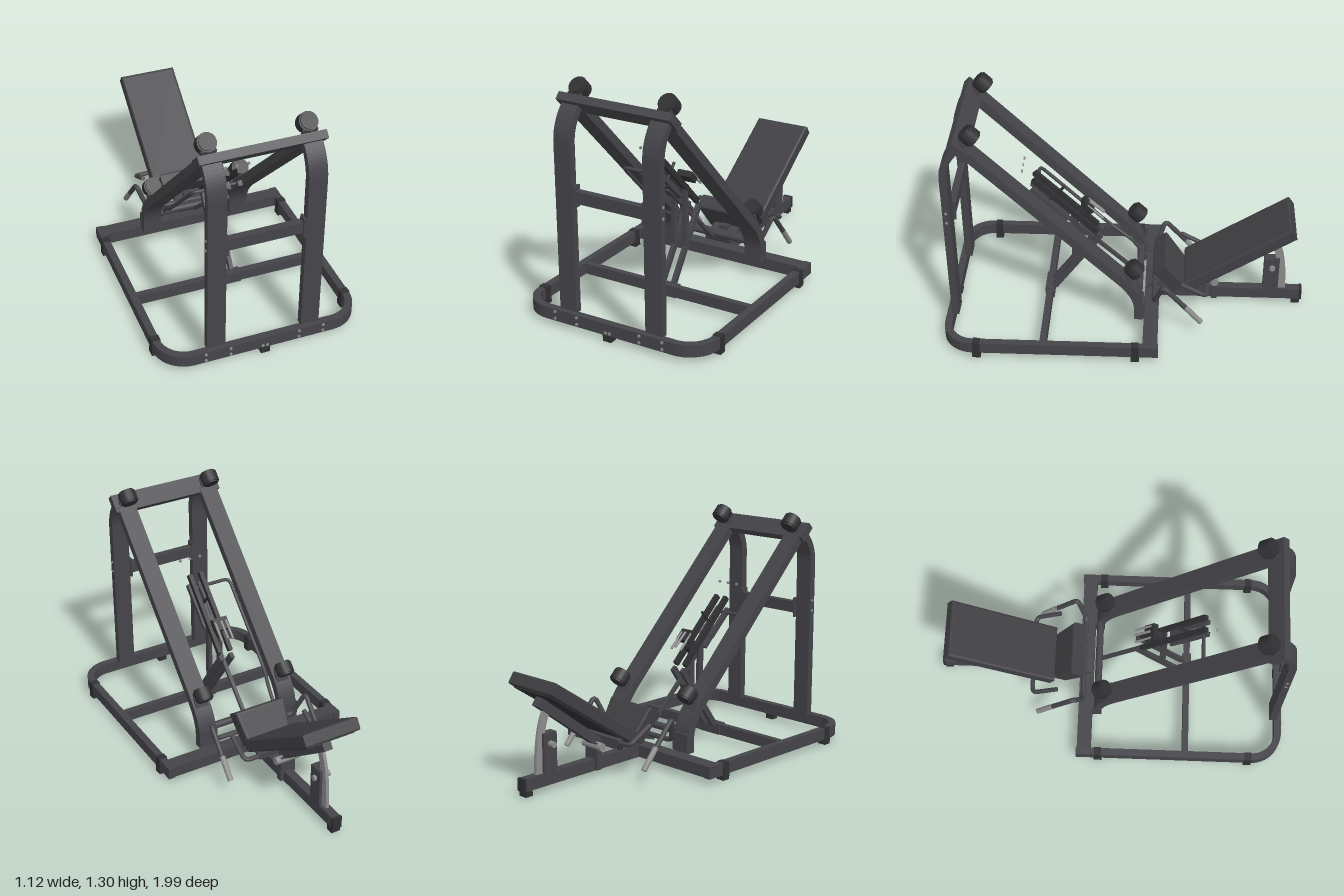
import * as THREE from 'three';

const mat = (name, color) => {
  const m = new THREE.MeshStandardMaterial({ color });
  m.name = name;
  return m;
};

export function createModel() {
  const model = new THREE.Group();
  model.name = 'legPressFrame';
  const frame = mat('frame grey', 0x454449);
  const pad = mat('pad charcoal', 0x403f43);
  const rubber = mat('rubber black', 0x303033);
  const steel = mat('steel', 0x8c8c8c);
  const V = (x, y, z) => new THREE.Vector3(x, y, z);

  const add = (name, geo, m, x = 0, y = 0, z = 0) => {
    const mesh = new THREE.Mesh(geo, m);
    mesh.name = name;
    mesh.position.set(x, y, z);
    model.add(mesh);
    return mesh;
  };
  const box = (name, m, w, h, d, x, y, z) => add(name, new THREE.BoxGeometry(w, h, d), m, x, y, z);

  // Straight bar between two [z, y] points, w wide in x and t thick
  const bar = (name, m, a, b, w, t, x = 0) => {
    const dz = b[0] - a[0], dy = b[1] - a[1];
    const mesh = box(name, m, w, t, Math.hypot(dz, dy), x, (a[1] + b[1]) / 2, (a[0] + b[0]) / 2);
    mesh.rotation.x = -Math.atan2(dy, dz);
    return mesh;
  };
  // Round rod between two points
  const rod = (name, m, a, b, r) => {
    const dir = b.clone().sub(a);
    const mesh = add(name, new THREE.CylinderGeometry(r, r, dir.length(), 16), m);
    mesh.position.copy(a).add(b).multiplyScalar(0.5);
    mesh.quaternion.setFromUnitVectors(V(0, 1, 0), dir.normalize());
    return mesh;
  };
  // Round tube with softened corners
  const tube = (name, m, pts, r, soft = 0.035) => {
    const path = new THREE.CurvePath();
    let prev = pts[0];
    for (let i = 1; i < pts.length - 1; i++) {
      const p = pts[i];
      const cut = q => p.clone().add(q.clone().sub(p).setLength(Math.min(soft, q.distanceTo(p) / 2.1)));
      const s = cut(pts[i - 1]), e = cut(pts[i + 1]);
      path.add(new THREE.LineCurve3(prev, s));
      path.add(new THREE.QuadraticBezierCurve3(s, p, e));
      prev = e;
    }
    path.add(new THREE.LineCurve3(prev, pts[pts.length - 1]));
    add(name, new THREE.TubeGeometry(path, 60, r, 10), m);
    rod(name + 'StartCap', m, pts[0], pts[0].clone().lerp(pts[1], 0.05), r);
    const n = pts.length;
    rod(name + 'EndCap', m, pts[n - 1], pts[n - 1].clone().lerp(pts[n - 2], 0.05), r);
  };
  // Flat bar following a 2D path: t thick in the plane, extruded by depth
  const ribbon = (path, t, depth) => {
    const left = [], right = [];
    path.forEach((p, i) => {
      const a = path[Math.max(i - 1, 0)], b = path[Math.min(i + 1, path.length - 1)];
      const n = new THREE.Vector2(a.y - b.y, b.x - a.x).setLength(t / 2);
      left.push(p.clone().add(n));
      right.unshift(p.clone().sub(n));
    });
    return new THREE.ExtrudeGeometry(new THREE.Shape([...left, ...right]), { depth, bevelEnabled: false })
      .translate(0, 0, -depth / 2);
  };
  const P = (x, y) => new THREE.Vector2(x, y);
  const bend = (a, c, b) => new THREE.QuadraticBezierCurve(P(...a), P(...c), P(...b)).getPoints(12);
  const arc = (cx, cy, r, from, to) => Array.from({ length: 13 }, (_, i) => {
    const a = from + (to - from) * i / 12;
    return P(cx + r * Math.cos(a), cy + r * Math.sin(a));
  });

  // Floor frame: rounded U, cross members and centre beam
  const floorPath = [P(-0.535, -0.195), ...arc(-0.385, 0.81, 0.15, Math.PI, Math.PI / 2),
    ...arc(0.385, 0.81, 0.15, Math.PI / 2, 0), P(0.535, -0.195)];
  add('floorFrame', ribbon(floorPath, 0.04, 0.066).rotateX(Math.PI / 2), frame, 0, 0.063, 0);
  box('rearCrossMember', frame, 1.03, 0.066, 0.08, 0, 0.063, -0.15);
  box('middleCrossMember', frame, 1.03, 0.06, 0.035, 0, 0.063, 0.43);
  box('strutBase', frame, 0.15, 0.064, 0.05, 0, 0.065, 0.43);
  box('centreBeam', frame, 0.05, 0.066, 0.8, 0, 0.063, -0.59);
  box('beamEndCap', rubber, 0.054, 0.07, 0.015, 0, 0.063, -0.99);

  // Rubber feet
  const foot = (x, z) => box('foot', rubber, 0.05, 0.034, 0.045, x, 0.017, z);
  foot(0, 0.965);
  foot(0, -0.965);
  for (const s of [-1, 1]) for (const z of [0.79, -0.07]) {
    foot(s * 0.535, z);
    box('footCollar', rubber, 0.048, 0.07, 0.04, s * 0.535, 0.063, z);
  }

  // Uprights and sloping rails
  const rail = z => 0.335 + 1.01 * z;
  const upright = [P(0.933, 0.09), ...bend([0.933, 1.0], [0.933, 1.1], [0.855, 1.175])];
  const slope = [P(0.83, rail(0.83)), ...bend([0.02, rail(0.02)], [-0.08, 0.255], [-0.08, 0.16]), P(-0.08, 0.09)];
  for (const s of [-1, 1]) {
    const x = s * 0.26;
    add('upright', ribbon(upright, 0.04, 0.1).rotateY(-Math.PI / 2), frame, x);
    add('slopingRail', ribbon(slope, 0.047, 0.104).rotateY(-Math.PI / 2), frame, x);
    box('railFootPlate', frame, 0.11, 0.1, 0.012, x, 0.15, -0.106);
    // Stop bumpers and their brackets
    for (const [z, y] of [[0.785, 1.242], [-0.055, 0.402]]) {
      rod('bumper', rubber, V(x, y - 0.021, z - 0.021), V(x, y + 0.021, z + 0.021), 0.05);
      rod('bumperCore', rubber, V(x, y - 0.027, z - 0.027), V(x, y + 0.027, z + 0.027), 0.042);
      bar('bumperBracket', frame, [z + 0.015, y - 0.09], [z + 0.045, y - 0.01], 0.08, 0.012, x);
    }
    box('braceFlange', frame, 0.012, 0.115, 0.05, s * 0.204, 0.728, 0.925);
  }
  bar('topCrossBeam', frame, [0.88, 1.222], [0.806, 1.147], 0.66, 0.044);
  box('uprightBrace', frame, 0.41, 0.065, 0.038, 0, 0.728, 0.922);
  rod('lowerCrossTube', frame, V(-0.21, 0.195, -0.08), V(0.21, 0.195, -0.08), 0.02);

  // Carriage lock mechanism in the middle
  for (const s of [-1, 1]) {
    const x = s * 0.034;
    bar('diagonalStrut', frame, [0.405, 0.09], [0.14, 0.46], 0.022, 0.034, x);
    bar('verticalStrut', frame, [0.283, 0.26], [0.283, 0.61], 0.022, 0.034, x);
    bar('guideBar', rubber, [0.5, 0.82], [0.16, 0.48], 0.024, 0.03, x);
    bar('lowerGuideBar', frame, [0.515, 0.75], [0.37, 0.612], 0.024, 0.028, x);
    rod('lockPin', steel, V(x, 0.655, 0.21), V(x, 0.575, 0.125), 0.007);
  }
  bar('latchPlate', frame, [0.42, 0.66], [0.32, 0.56], 0.09, 0.02);
  bar('latchBlock', rubber, [0.235, 0.66], [0.185, 0.61], 0.09, 0.035);
  rod('latchRoller', rubber, V(-0.02, 0.57, 0.25), V(0.02, 0.57, 0.25), 0.035);
  rod('centrePin', steel, V(0, 0.66, 0.2), V(0, 0.59, 0.12), 0.007);
  rod('stopPin', rubber, V(0, 0.755, 0.335), V(0, 0.66, 0.42), 0.008);
  bar('linkRod', frame, [0.4, 0.625], [-0.07, 0.175], 0.02, 0.018);
  tube('releaseLever', frame, [V(-0.185, 0.15, -0.11), V(-0.185, 0.27, -0.02), V(-0.218, 0.345, 0.1),
    V(-0.218, 0.735, 0.49), V(0.02, 0.735, 0.49)], 0.01);

  // Backrest: pad profile across x, with bevelled edges
  const cushion = (name, w, len, t, taper) => {
    const c = 0.015, h = w / 2 - c, k = taper / 2 - c, l = len / 2 - c;
    const shape = new THREE.Shape([P(-h, -l), P(h, -l), P(k, l), P(-k, l)]);
    const geo = new THREE.ExtrudeGeometry(shape, { depth: t - 0.02, bevelThickness: 0.01, bevelSize: c, bevelSegments: 3 });
    return add(name, geo.translate(0, 0, -(t - 0.02) / 2).rotateX(-Math.PI / 2), pad);
  };
  const tilt = 0.59;
  const back = cushion('backPad', 0.326, 0.685, 0.072, 0.326);
  back.position.set(0, 0.393, -0.63);
  back.rotation.x = tilt;
  bar('backPadBoard', rubber, [-0.36, 0.175], [-0.91, 0.54], 0.28, 0.016);
  bar('backSupport', frame, [-0.46, 0.165], [-0.88, 0.48], 0.05, 0.05);

  // Seat wedge facing the backrest
  const seat = cushion('seatPad', 0.31, 0.19, 0.09, 0.27);
  seat.position.set(0, 0.245, -0.245);
  seat.rotation.x = tilt - Math.PI / 2 + Math.PI + 0.03;
  seat.rotation.x = -0.95;
  bar('seatSupport', frame, [-0.12, 0.14], [-0.31, 0.2], 0.16, 0.03);
  box('seatPost', frame, 0.05, 0.12, 0.04, 0, 0.14, -0.2);
  tube('seatStop', rubber, [V(0, 0.21, -0.26), V(0, 0.17, -0.29), V(0, 0.09, -0.31)], 0.015);

  // Backrest pivot, post and curved adjuster plate
  box('pivotPost', frame, 0.09, 0.15, 0.035, 0, 0.11, -0.5);
  rod('pivotPin', steel, V(-0.07, 0.165, -0.5), V(0.07, 0.165, -0.5), 0.022);
  box('adjusterPost', frame, 0.05, 0.215, 0.085, 0, 0.2, -0.818);
  const plate = bend([-0.825, 0.42], [-0.88, 0.32], [-0.88, 0.095]);
  add('adjusterPlate', ribbon(plate, 0.045, 0.018).rotateY(-Math.PI / 2), steel);
  rod('adjusterKnob', steel, V(-0.06, 0.25, -0.82), V(0.04, 0.25, -0.82), 0.016);
  box('handleMount', frame, 0.3, 0.03, 0.035, 0, 0.2, -0.45);

  // Handles on both sides
  for (const s of [-1, 1]) {
    tube('frontHandle', frame, [V(0, 0.17, -0.165), V(s * 0.25, 0.17, -0.165), V(s * 0.302, 0.315, -0.215),
      V(s * 0.302, 0.19, -0.325), V(s * 0.302, 0.08, -0.42)], 0.014);
    rod('frontGrip', steel, V(s * 0.302, 0.18, -0.335), V(s * 0.302, 0.075, -0.425), 0.0155);
    tube('rearHandle', frame, [V(s * 0.04, 0.2, -0.455), V(s * 0.23, 0.2, -0.455), V(s * 0.23, 0.28, -0.31)], 0.013);
  }

  // Bolts
  const bolt = (x, y, z) => rod('bolt', steel, V(x, y, z - 0.004), V(x, y, z + 0.004), 0.008);
  for (const s of [-1, 1]) {
    for (const x of [0.19, 0.325]) for (const y of [0.045, 0.083]) bolt(s * x, y, 0.981);
    bolt(s * 0.012, 0.045, 0.981);
    for (const y of [0.72, 0.78]) rod('sideBolt', steel, V(s * 0.306, y, 0.933), V(s * 0.314, y, 0.933), 0.008);
  }
  for (const x of [-0.063, 0, 0.063]) bolt(x, 0.893, 0.553);

  return model;
}
